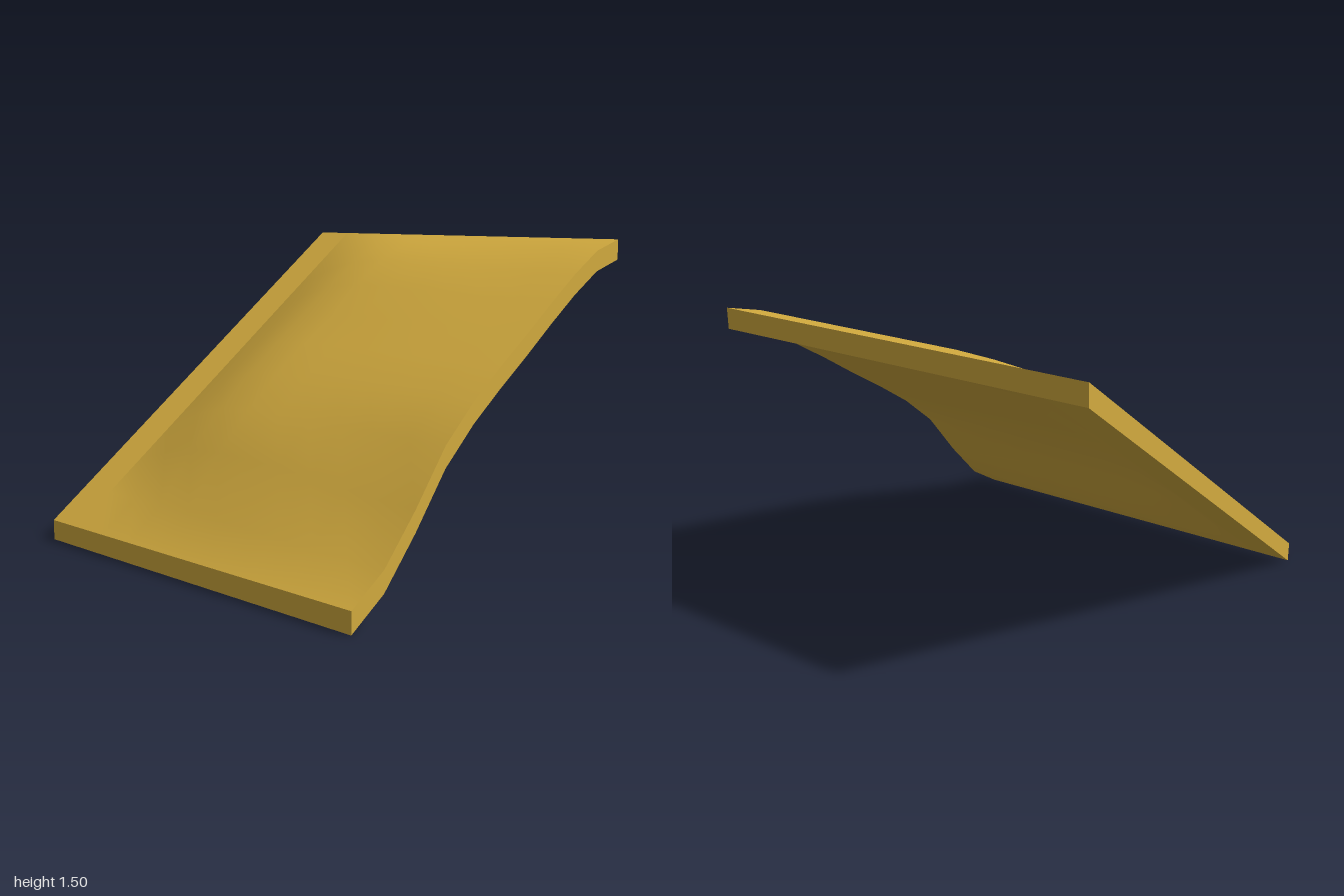
import * as THREE from 'three';

// Bulge above the straight ramp, sampled every 0.2 along x
const FRONT = [0, -0.02, 0.05, 0.15, 0.175, 0.168, 0.152, 0.142, 0.125, 0.09, 0];
const MIDDLE = [0, 0, 0.115, 0.16, 0.178, 0.175, 0.168, 0.168, 0.15, 0.09, 0];
// Fade-in of the bulge from z = -0.8, sampled every 0.2
const FADE = [0, 0.53, 0.9, 1];
const THICK = 0.1;

function topHeight(x, z) {
  const i = Math.round((x + 1) / 0.2);
  const k = Math.round((z + 0.8) / 0.2);
  const fade = k <= 0 ? 0 : FADE[Math.min(k, 3)];
  const t = THREE.MathUtils.smoothstep(z, 0, 1);
  const bulge = THREE.MathUtils.lerp(MIDDLE[i], FRONT[i], t);
  return 0.1 + 0.7 * (x + 1) + bulge * fade;
}

export function createModel() {
  const group = new THREE.Group();
  const material = new THREE.MeshStandardMaterial({ color: 0xd4ac3f });

  // Lift every vertex onto the slope, keeping its own offset in y
  function addDraped(name, geometry) {
    const p = geometry.attributes.position;
    for (let i = 0; i < p.count; i++) {
      p.setY(i, p.getY(i) + topHeight(p.getX(i), p.getZ(i)));
    }
    geometry.computeVertexNormals();
    const mesh = new THREE.Mesh(geometry, material);
    mesh.name = name;
    group.add(mesh);
  }

  // Upper and lower sheets: curved main area and flat strip along the back
  for (const [name, depth, rows, z] of [['Slope', 1.8, 9, 0.1], ['BackStrip', 0.2, 1, -0.9]]) {
    addDraped('top' + name, new THREE.PlaneGeometry(2, depth, 10, rows)
      .rotateX(-Math.PI / 2).translate(0, 0, z));
    addDraped('underside' + name, new THREE.PlaneGeometry(2, depth, 10, rows)
      .rotateX(Math.PI / 2).translate(0, -THICK, z));
  }

  // Rim walls on all four sides
  const walls = ['frontRim', 'leftRim', 'backRim', 'rightRim'];
  walls.forEach((name, i) => {
    addDraped(name, new THREE.PlaneGeometry(2, THICK, 10, 1)
      .translate(0, -THICK / 2, 1).rotateY(i * Math.PI / 2));
  });

  return group;
}
